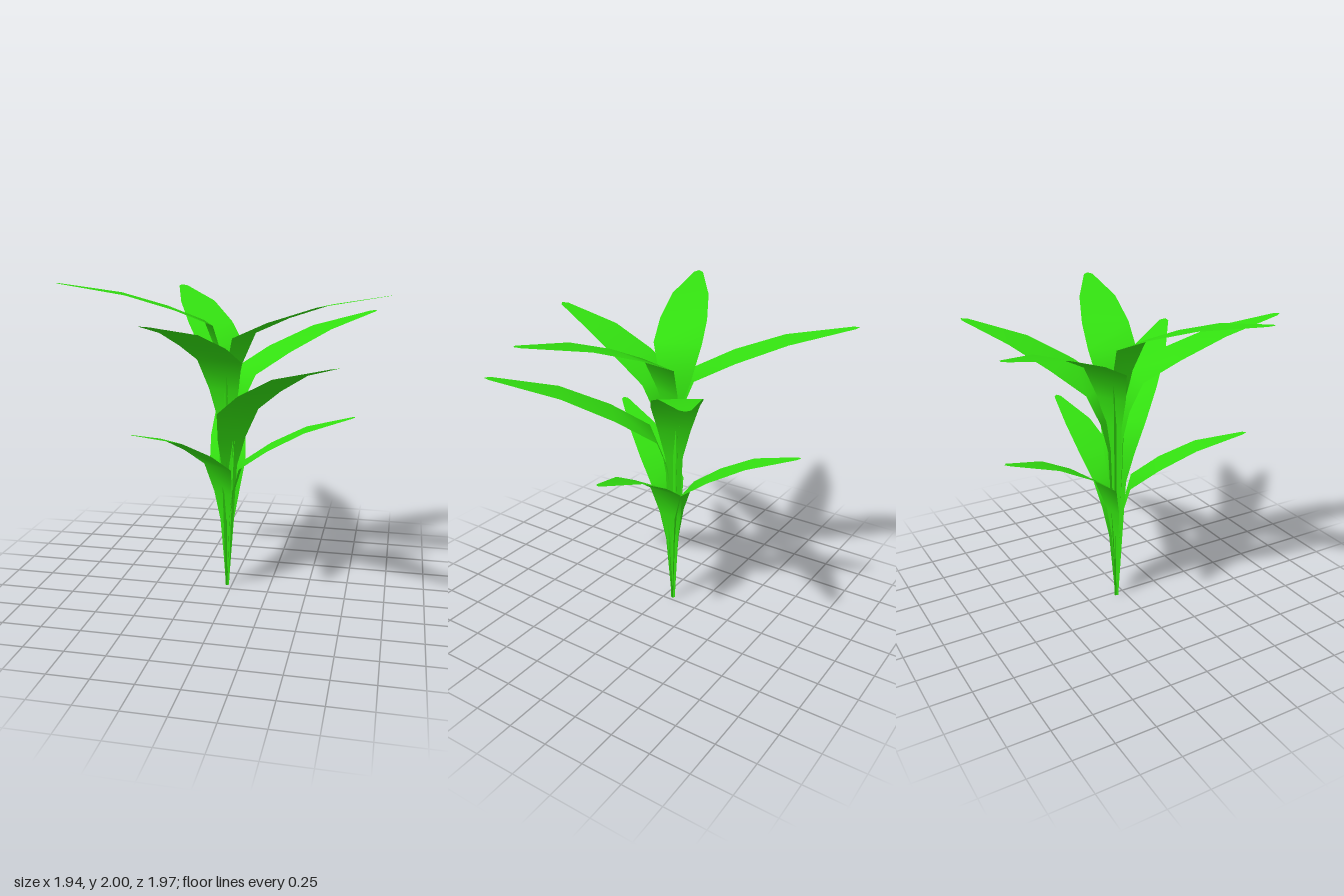
import * as THREE from 'three';

const BASE = new THREE.Vector3(-0.03, 0, -0.06);

// Cross-sections from root to tip: reach (fraction of length), half width
const REACH = [0, 0.025, 0.05, 0.115, 0.335, 0.615, 0.972, 1];
const HALF_WIDTH = [0.012, 0.055, 0.1, 0.148, 0.148, 0.118, 0.03, 0];

// Leaves: tip position, droop (how far the blade rises towards its tip), width scale
const LEAVES = [
  { name: 'lowerLeafBack', tip: [-0.175, 1.18, -0.855], droop: 1.1, width: 0.78 },
  { name: 'lowerLeafLeft', tip: [0.775, 1.18, -0.085], droop: 1.1, width: 0.78 },
  { name: 'lowerLeafFront', tip: [-0.44, 1.18, 0.625], droop: 1.1, width: 0.78 },
  { name: 'middleLeafFrontLeft', tip: [0.725, 1.625, 0.765], droop: 1.34, width: 1.02 },
  { name: 'middleLeafBackLeft', tip: [0.855, 1.775, -0.7], droop: 1.1, width: 1 },
  { name: 'upperLeafFront', tip: [-0.25, 1.84, 0.98], droop: 1.02, width: 1 },
  { name: 'upperLeafBack', tip: [-0.56, 1.9, -0.99], droop: 0.98, width: 1 },
  { name: 'topLeafLeft', tip: [0.97, 1.955, 0.275], droop: 0.91, width: 1 },
  { name: 'topLeafRight', tip: [-0.97, 2, 0.35], droop: 0.82, width: 1 },
];

// A flat, arching blade: an upright stalk that widens, bends outwards and tapers
function leafGeometry({ tip, droop, width }) {
  const [x, top, z] = tip;
  const out = new THREE.Vector3(x - BASE.x, 0, z - BASE.z);
  const length = out.length();
  out.normalize();
  const side = new THREE.Vector3(out.z, 0, -out.x);
  const bend = top - 0.31 * droop;
  const heights = [0, bend - 0.38, bend - 0.19, bend,
    top - 0.195 * droop, top - 0.085 * droop, top - 0.005, top];

  const positions = [];
  const index = [];
  REACH.forEach((reach, i) => {
    for (const s of [-1, 1]) {
      const p = BASE.clone()
        .addScaledVector(out, reach * length)
        .addScaledVector(side, s * HALF_WIDTH[i] * width);
      positions.push(p.x, heights[i], p.z);
    }
    if (i === 0) return;
    const a = 2 * (i - 1);
    index.push(a, a + 2, a + 1);
    index.push(a + 1, a + 2, a + 3);
  });
  // The last section is a single point
  index.splice(-3, 3);
  const last = 2 * (REACH.length - 2);
  index.splice(-3, 3, last, last + 2, last + 1);
  positions.length -= 3;

  // Wind the faces so the blade's upper side is its front
  for (let i = 0; i < index.length; i += 3) {
    [index[i + 1], index[i + 2]] = [index[i + 2], index[i + 1]];
  }

  const geometry = new THREE.BufferGeometry();
  geometry.setAttribute('position', new THREE.Float32BufferAttribute(positions, 3));
  geometry.setIndex(index);
  geometry.computeVertexNormals();
  return geometry;
}

export function createModel() {
  const plant = new THREE.Group();
  plant.name = 'plant';
  const green = new THREE.MeshStandardMaterial({ color: 0x33e010, side: THREE.DoubleSide });
  for (const leaf of LEAVES) {
    const mesh = new THREE.Mesh(leafGeometry(leaf), green);
    mesh.name = leaf.name;
    plant.add(mesh);
  }
  return plant;
}
